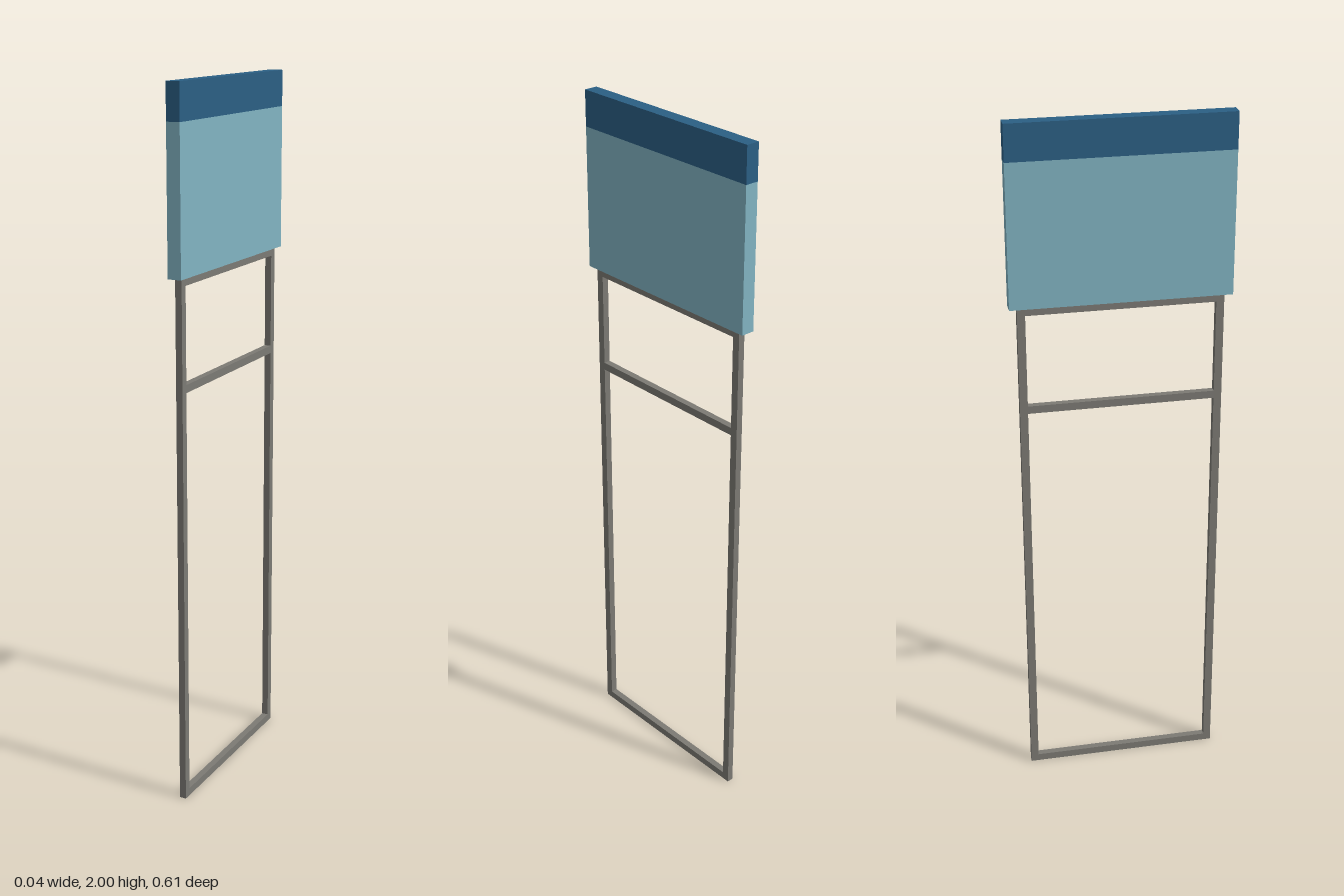
import * as THREE from 'three';

export function createModel() {
  const model = new THREE.Group();
  const metal = new THREE.MeshStandardMaterial({ color: 0x7c7a74 });
  metal.name = 'grey metal';
  const paleBlue = new THREE.MeshStandardMaterial({ color: 0x82b4c2 });
  paleBlue.name = 'pale blue';
  const darkBlue = new THREE.MeshStandardMaterial({ color: 0x2b5f84 });
  darkBlue.name = 'dark blue';

  // Box centred on x = 0, given by its vertical range and z centre
  function box(name, material, width, bottom, top, depth, z = 0) {
    const mesh = new THREE.Mesh(new THREE.BoxGeometry(width, top - bottom, depth), material);
    mesh.name = name;
    mesh.position.set(0, (bottom + top) / 2, z);
    model.add(mesh);
  }

  const bar = 0.022, thick = 0.019, halfDepth = 0.284;
  const panelBottom = 1.5, panelThick = 0.039, panelDepth = 0.611;

  // Upright posts
  for (const side of [1, -1]) {
    box(side > 0 ? 'frontPost' : 'backPost', metal, thick, 0, panelBottom, bar, side * (halfDepth - bar / 2));
  }

  // Horizontal rails between the posts
  const span = 2 * (halfDepth - bar);
  box('bottomRail', metal, thick, 0, bar, span);
  box('crossRail', metal, thick, 1.19, 1.19 + bar, span);
  box('topRail', metal, thick, panelBottom - bar, panelBottom, span);

  // Sign panel with its dark header band
  box('signPanel', paleBlue, panelThick, panelBottom, 1.9, panelDepth);
  box('headerBand', darkBlue, panelThick, 1.9, 2, panelDepth);

  return model;
}
